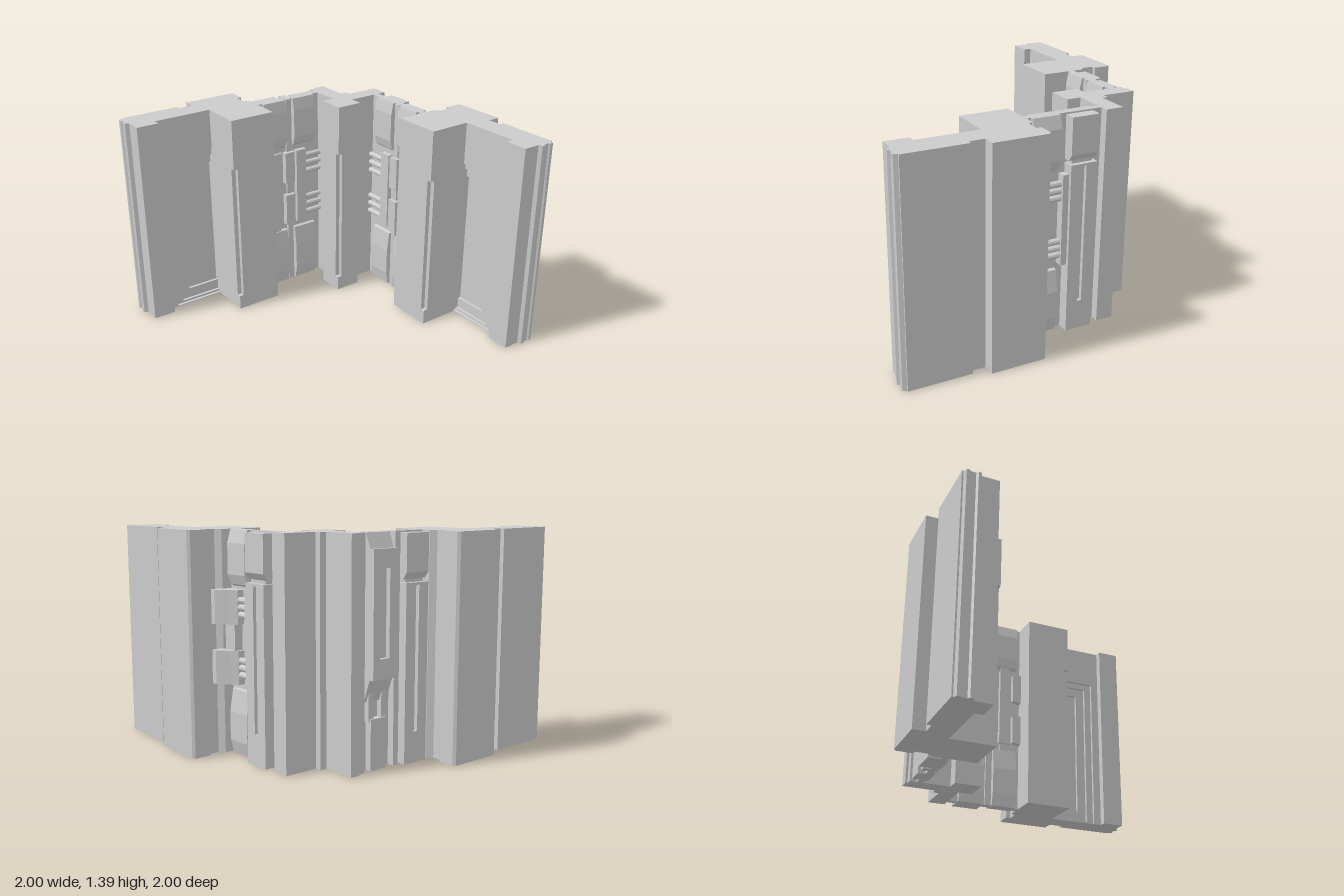
import * as THREE from 'three';

const Y0 = 0.01, Y1 = 1.4;
const material = new THREE.MeshStandardMaterial({ color: 0xcccccc, flatShading: true });

// Reflection that carries one wing of the corner wall onto the other: (x, z) -> (-z, -x)
const REFLECT = new THREE.Matrix4().set(0, 0, -1, 0, 0, 1, 0, 0, -1, 0, 0, 0, 0, 0, 0, 1);

function reflect(geometry) {
  const g = geometry.index ? geometry.toNonIndexed() : geometry.clone();
  g.applyMatrix4(REFLECT);
  // Swap two corners of each triangle to keep faces outward
  for (const attr of Object.values(g.attributes)) {
    const a = attr.array, n = attr.itemSize;
    for (let i = 0; i < attr.count; i += 3) {
      for (let k = 0; k < n; k++) {
        const p = (i + 1) * n + k, q = (i + 2) * n + k;
        [a[p], a[q]] = [a[q], a[p]];
      }
    }
  }
  return g;
}

const toShape = (pts) => new THREE.Shape(pts.map(([x, y]) => new THREE.Vector2(x, y)));
const rect = (x0, x1, y0, y1) => [[x0, y0], [x1, y0], [x1, y1], [x0, y1]];
const extrude = (shape, depth) => new THREE.ExtrudeGeometry(shape, { depth, bevelEnabled: false });

const box = (x0, x1, y0, y1, z0, z1) =>
  new THREE.BoxGeometry(x1 - x0, y1 - y0, z1 - z0).translate((x0 + x1) / 2, (y0 + y1) / 2, (z0 + z1) / 2);

// Floor plan of [x, z] points, raised from y0 to y1
const plan = (pts, y0 = Y0, y1 = Y1) =>
  extrude(toShape(pts.map(([x, z]) => [x, -z])), y1 - y0).rotateX(-Math.PI / 2).translate(0, y0, 0);

// Upright plate of [x, y] points, with an optional hole
function plate(pts, z0, z1, hole) {
  const s = toShape(pts);
  if (hole) s.holes.push(toShape(hole));
  return extrude(s, z1 - z0).translate(0, 0, z0);
}

// Side profile of [z, y] points, swept along x
const profile = (pts, x0, x1) =>
  extrude(toShape(pts.map(([z, y]) => [-z, y])), x1 - x0).rotateY(Math.PI / 2).translate(x0, 0, 0);

const piston = (x0, x1, y, z, r) =>
  new THREE.CylinderGeometry(r, r, x1 - x0, 10).rotateZ(Math.PI / 2).translate((x0 + x1) / 2, y, z);

function makeGroup(name, mirrored, parts) {
  const group = new THREE.Group();
  group.name = name;
  for (const [partName, geometry] of parts) {
    const mesh = new THREE.Mesh(mirrored ? reflect(geometry) : geometry, material);
    mesh.name = partName;
    group.add(mesh);
  }
  return group;
}

// Square pillar with a notched edge at its (x0, z1) corner
function notchedPillar(x0, x1, z0, z1) {
  const full = [[x0, z0], [x1, z0], [x1, z1], [x0, z1]], n = 0.03;
  const cut = [[x0, z0], [x1, z0], [x1, z1], [x0 + n, z1], [x0 + n, z1 - n], [x0, z1 - n]];
  return [
    ['pillarBase', plan(full, Y0, 0.11)],
    ['pillarShaft', plan(cut, 0.11, 1.06)],
    ['pillarHead', plan(full, 1.06, Y1)],
  ];
}

// Thick end wall with a pillar and a stepped recess on its inner face
function wallParts() {
  const opening = (x, y0, y1) => [
    [-0.97, Y0], [-0.42, Y0], [-0.42, y0], [x, y0], [x, y1], [-0.42, y1], [-0.42, Y1], [-0.97, Y1],
  ];
  return [
    ['wallCore', plan([
      [-0.97, -0.95], [-0.57, -0.95], [-0.57, -0.92], [-0.475, -0.92], [-0.475, -1], [-0.13, -1], [-0.115, -0.985],
      [-0.115, -0.88], [-0.145, -0.88], [-0.145, -0.8], [-0.11, -0.77], [-0.42, -0.77], [-0.42, -0.83], [-0.97, -0.83],
    ])],
    ['endLip', plan([[-0.97, -0.94], [-0.995, -0.93], [-0.995, -0.91], [-0.985, -0.9], [-0.985, -0.87],
      [-1, -0.86], [-0.995, -0.84], [-0.97, -0.83]])],
    ['endPost', box(-0.97, -0.82, Y0, Y1, -0.83, -0.72)],
    ['outerFrame', plate(opening(-0.765, 0.015, 1.12), -0.79, -0.77)],
    ['middleFrame', plate(opening(-0.715, 0.03, 1.08), -0.81, -0.79)],
    ['innerFrame', plate(opening(-0.65, 0.1, 1.02), -0.83, -0.81)],
    ...notchedPillar(-0.425, -0.11, -0.77, -0.485),
  ];
}

// Wedge-ended blocks at the top and bottom of a panel; z0 is the root, z1 the face
function wedges(x0, x1, z0, z1) {
  const step = z0 + (z1 - z0) * 0.6;
  return [
    ['upperWedge', profile([[z0, 1.05], [step, 1.07], [z1, 1.13], [z1, 1.32], [step, Y1], [z0, Y1]], x0, x1)],
    ['lowerWedge', profile([[z0, Y0], [step, Y0], [z1, 0.1], [z1, 0.28], [step, 0.42], [z0, 0.43]], x0, x1)],
  ];
}

// Thin panel and the machinery on its inner face
function innerPanelParts() {
  const parts = [
    ['thinPanel', box(-0.13, 0.42, Y0, Y1, -0.705, -0.665)],
    ['seamRib', box(0.1, 0.14, Y0, Y1, -0.67, -0.65)],
    ...wedges(-0.08, 0.09, -0.67, -0.63),
    ...wedges(0.155, 0.33, -0.67, -0.63),
    ['slideRod', box(-0.02, 0.04, 0.31, 1.1, -0.67, -0.65)],
    ['slideCover', box(-0.035, 0.05, 0.47, 1.025, -0.67, -0.635)],
    ['pistonMount', box(0.17, 0.25, 0.47, 1.02, -0.67, -0.63)],
  ];
  for (const y of [0.585, 0.905]) {
    parts.push(['latchBlock', box(0.075, 0.15, y - 0.115, y + 0.115, -0.67, -0.625)]);
    parts.push(['wallClaw', plate([[-0.11, y - 0.11], [-0.05, y - 0.1], [-0.045, y + 0.1], [-0.11, y + 0.11]], -0.67, -0.63)]);
    for (const dy of [-0.06, 0, 0.06]) parts.push(['piston', piston(0.24, 0.4, y + dy, -0.65, 0.018)]);
  }
  return parts;
}

// Outer column with a pinched neck and a long slot
function neckColumn(x0, x1, face) {
  const mid = (x0 + x1) / 2, root = -0.69;
  return [
    ['columnHead', profile([[root, 1.12], [face + 0.03, 1.12], [face, 1.16], [face, 1.39], [root, 1.39]], x0, x1)],
    ['columnNeck', box(x0 + 0.02, x1 - 0.02, 1.08, 1.14, face + 0.03, root)],
    ['columnBody', box(x0, x1, Y0, 1.1, face + 0.025, root)],
    ['columnFace', plate(rect(x0, x1, Y0, 1.1), face, face + 0.025, rect(mid - 0.015, mid + 0.015, 0.2, 1.085))],
  ];
}

// Outer face with a slotted, taper-ended housing
function housingParts() {
  const x0 = 0.18, x1 = 0.36;
  return [
    ...neckColumn(-0.09, 0.09, -0.785),
    ['housingBody', profile([[-0.69, 0.42], [-0.72, 0.42], [-0.77, 0.56], [-0.77, 1.31], [-0.73, Y1], [-0.69, Y1]], x0, x1)],
    ['housingFace', plate(rect(x0, x1, 0.56, 1.31), -0.8, -0.77, rect(0.235, 0.305, 0.68, 1.2))],
    ['housingArmLeft', box(0.2, 0.24, 0.3, 0.5, -0.74, -0.69)],
    ['housingArmRight', box(0.3, 0.34, 0.3, 0.5, -0.74, -0.69)],
    ['housingFoot', box(0.21, 0.33, Y0, 0.32, -0.75, -0.69)],
    ['outerRib', box(0.11, 0.15, Y0, Y1, -0.75, -0.69)],
  ];
}

// Outer face with claws gripping the wall, driven by pistons
function clawParts() {
  const parts = [
    ...neckColumn(0.15, 0.33, -0.78),
    ...wedges(-0.08, 0.1, -0.69, -0.75),
    ['pistonRail', box(0.11, 0.15, 0.46, 1.04, -0.76, -0.69)],
    ['clawLink', box(-0.1, 0.0, 0.66, 0.84, -0.76, -0.69)],
  ];
  for (const y of [0.565, 0.935]) {
    parts.push(['claw', plan([[-0.12, -0.69], [-0.13, -0.84], [-0.09, -0.84], [-0.02, -0.78], [0.02, -0.75], [0.02, -0.69]], y - 0.105, y + 0.105)]);
    for (const dy of [-0.045, 0, 0.045]) parts.push(['piston', piston(0, 0.13, y + dy, -0.73, 0.02)]);
  }
  return parts;
}

// Right-angled corner post joining the two panels
function cornerParts() {
  return [
    ['cornerCore', plan([
      [0.38, -0.75], [0.43, -0.75], [0.43, -0.765], [0.495, -0.765], [0.495, -0.545], [0.54, -0.545], [0.54, -0.505],
      [0.76, -0.505], [0.76, -0.39], [0.47, -0.39], [0.41, -0.43], [0.41, -0.48], [0.38, -0.48],
    ])],
    ...notchedPillar(0.295, 0.475, -0.48, -0.3),
  ];
}

export function createModel() {
  const model = new THREE.Group();
  model.name = 'cornerWall';
  for (const mirrored of [false, true]) {
    const side = mirrored ? 'front' : 'back';
    model.add(makeGroup(side + 'EndWall', mirrored, wallParts()));
    model.add(makeGroup(side + 'InnerPanel', mirrored, innerPanelParts()));
  }
  model.add(makeGroup('backOuterHousing', false, housingParts()));
  model.add(makeGroup('sideOuterClaws', true, clawParts()));
  model.add(makeGroup('cornerPost', false, cornerParts()));
  return model;
}
